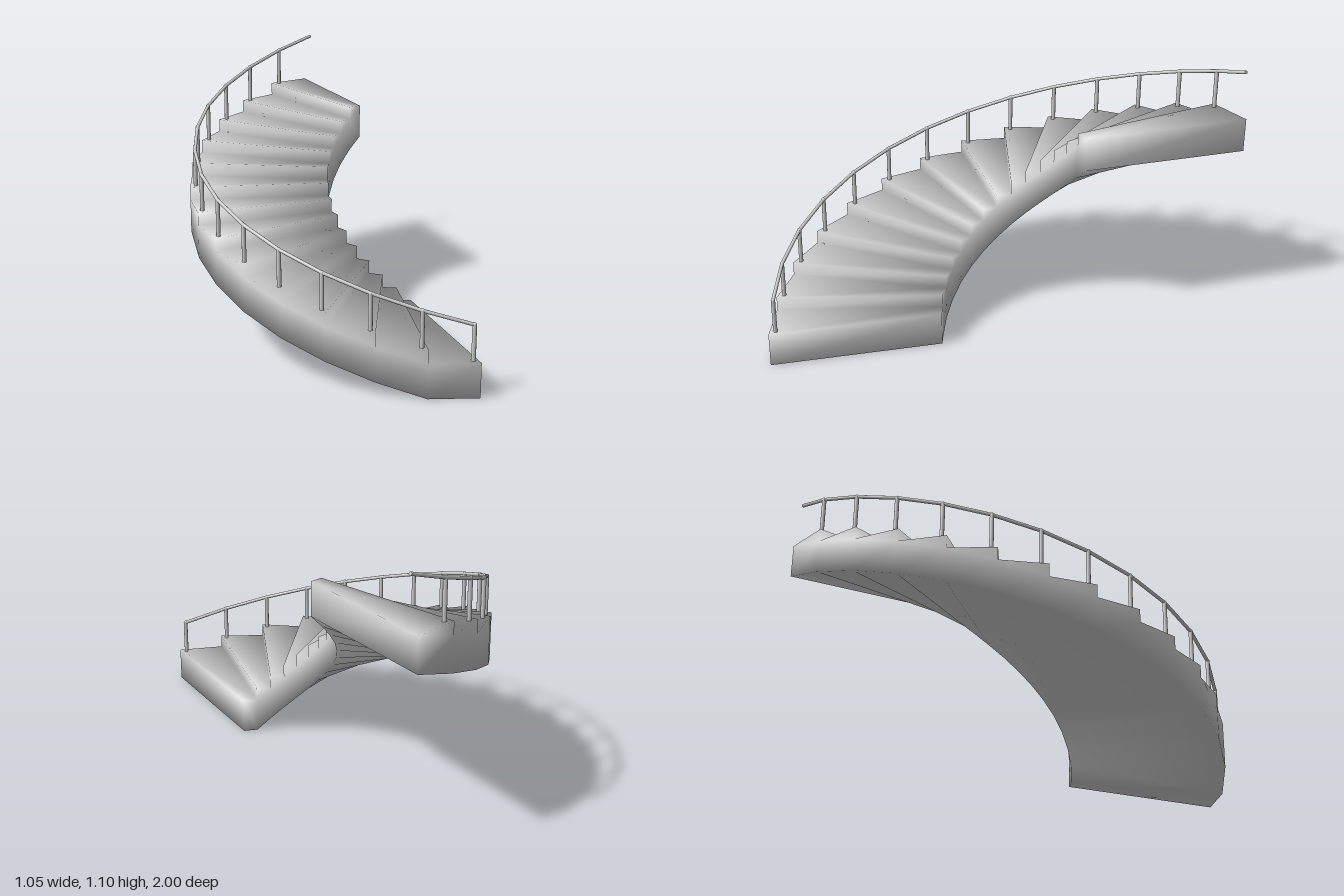
import * as THREE from 'three';
import { mergeVertices } from 'three/addons/utils/BufferGeometryUtils.js';

const STEPS = 14, RISE = 0.0562, FIRST = 0.145;
const TURN = THREE.MathUtils.degToRad(11.2), START = 6 * TURN;
const OUTER = { x: 0.515, z: 0.042, r: 1.042 };
const INNER = { x: 0.392, z: 0.0125, r: 0.312 };
const RAIL = { x: 0.515, z: 0.042, r: 1.016 };

const material = new THREE.MeshStandardMaterial({ color: 0xcccccc });

// Point on an arc at division i (0 = foot of the stair) and height y
function at(arc, i, y) {
  const a = START - i * TURN;
  return new THREE.Vector3(arc.x - arc.r * Math.cos(a), y, arc.z + arc.r * Math.sin(a));
}
const treadY = (i) => FIRST + RISE * i;
const soffitY = (i) => Math.max(0, RISE * (i - 1));

// One welded surface from polygons, each fanned from its first corner
function weld(polygons) {
  const pts = [];
  for (const p of polygons) {
    for (let k = 1; k < p.length - 1; k++) pts.push(p[0], p[k], p[k + 1]);
  }
  return mergeVertices(new THREE.BufferGeometry().setFromPoints(pts), 1e-4);
}

// Smooth normals, each face weighted by its angle at the corner
function angleNormals(geo) {
  const pos = geo.attributes.position, index = geo.index;
  const sums = Array.from({ length: pos.count }, () => new THREE.Vector3());
  const point = (i) => new THREE.Vector3().fromBufferAttribute(pos, i);
  for (let f = 0; f < index.count; f += 3) {
    for (let k = 0; k < 3; k++) {
      const [a, b, c] = [0, 1, 2].map((s) => index.getX(f + (k + s) % 3));
      const e1 = point(b).sub(point(a)), e2 = point(c).sub(point(a));
      const angle = e1.angleTo(e2);
      sums[a].addScaledVector(e1.cross(e2).normalize(), angle);
    }
  }
  const normals = sums.flatMap((n) => n.normalize().toArray());
  return geo.setAttribute('normal', new THREE.Float32BufferAttribute(normals, 3));
}

function add(parent, name, geo) {
  const mesh = new THREE.Mesh(geo, material);
  mesh.name = name;
  parent.add(mesh);
  return mesh;
}

// Round bar between two points
function bar(parent, name, a, b, radius) {
  const mesh = add(parent, name, new THREE.CylinderGeometry(radius, radius, a.distanceTo(b), 12));
  mesh.position.copy(a).lerp(b, 0.5);
  mesh.quaternion.setFromUnitVectors(new THREE.Vector3(0, 1, 0), b.clone().sub(a).normalize());
}

// Side of one step; it also meets the corner of the tread below
function stepSide(arc, i) {
  const j = i + 1, t = treadY(i);
  const side = [at(arc, i, t), at(arc, j, t), at(arc, j, soffitY(j)), at(arc, i, soffitY(i))];
  return i === 0 ? side : [at(arc, i, treadY(i - 1)), ...side];
}

// Solid flight: treads, risers, both sides, underside and upper end
function stairGeometry() {
  const faces = [];
  for (let i = 0; i < STEPS; i++) {
    const j = i + 1, t = treadY(i), b0 = soffitY(i), b1 = soffitY(j);
    const foot = i === 0 ? 0 : treadY(i - 1);
    const inner = stepSide(INNER, i);
    faces.push(
      [at(OUTER, i, t), at(INNER, i, t), at(INNER, j, t), at(OUTER, j, t)],
      [at(OUTER, i, foot), at(INNER, i, foot), at(INNER, i, t), at(OUTER, i, t)],
      stepSide(OUTER, i),
      [inner[0], ...inner.slice(1).reverse()],
      [at(OUTER, i, b0), at(OUTER, j, b1), at(INNER, j, b1), at(INNER, i, b0)],
    );
  }
  const top = treadY(STEPS - 1), bottom = soffitY(STEPS);
  faces.push([at(OUTER, STEPS, top), at(INNER, STEPS, top),
    at(INNER, STEPS, bottom), at(OUTER, STEPS, bottom)]);
  return angleNormals(weld(faces));
}

function createRailing() {
  const railing = new THREE.Group();
  railing.name = 'railing';
  const points = [];
  for (let i = 0; i < STEPS; i++) points.push(at(RAIL, i + 0.13, 0.293 + 0.0574 * i));
  // Free end of the rail beyond the last post
  points.push(new THREE.Vector3(0.52, 1.094, -0.966));
  for (let i = 0; i < STEPS; i++) {
    const p = points[i];
    // One post per tread, a rail length up to the next, and a rounded joint
    bar(railing, 'post', new THREE.Vector3(p.x, treadY(i) - 0.005, p.z), p, 0.009);
    bar(railing, 'handrail', p, points[i + 1], 0.0075);
    add(railing, 'railJoint', new THREE.SphereGeometry(0.009, 12, 8)).position.copy(p);
  }
  return railing;
}

export function createModel() {
  const model = new THREE.Group();
  model.name = 'curvedStaircase';
  add(model, 'stair', stairGeometry());
  model.add(createRailing());
  return model;
}
